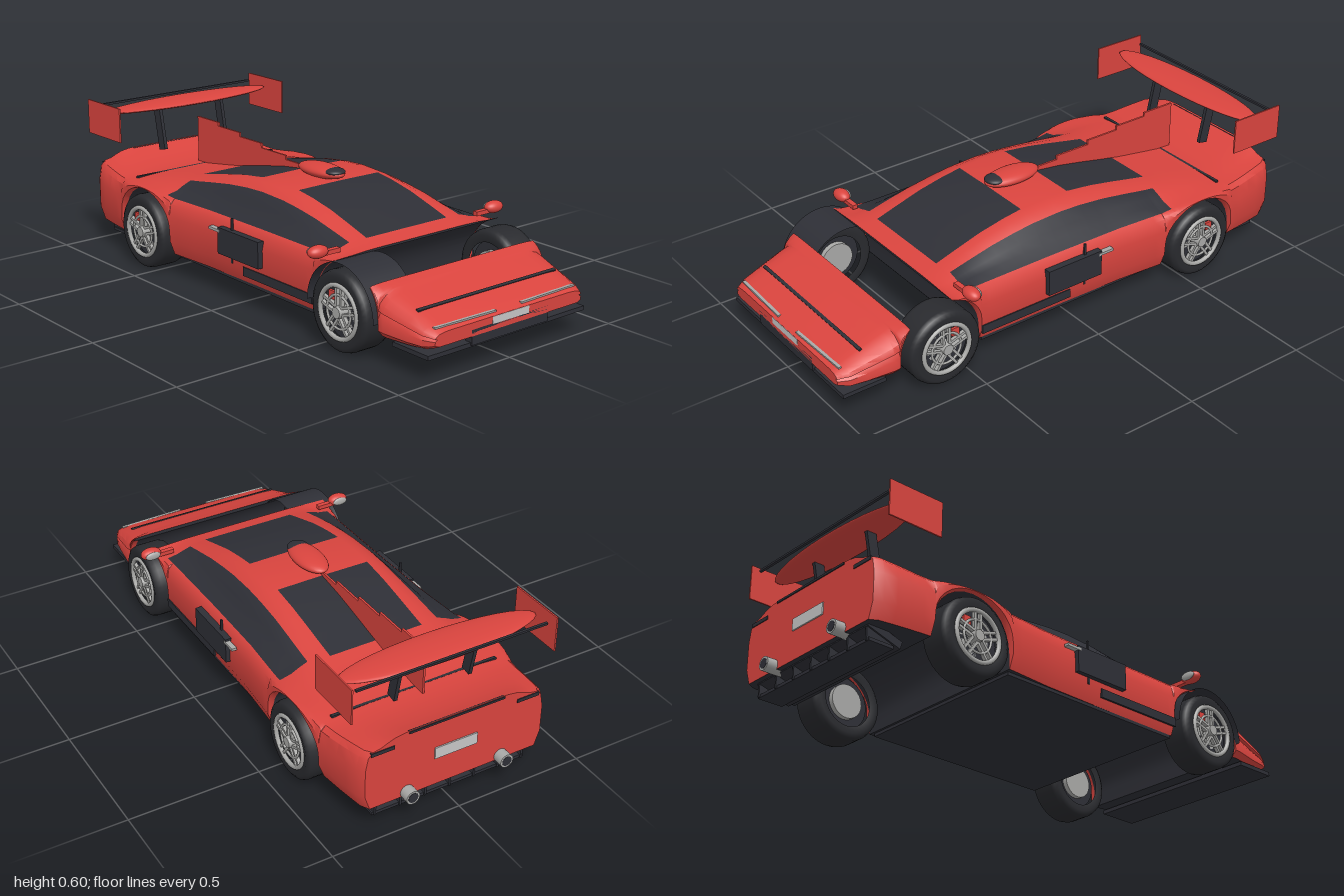
import * as THREE from 'three';
import { toCreasedNormals } from 'three/addons/utils/BufferGeometryUtils.js';

const mat = (name, color) => Object.assign(new THREE.MeshStandardMaterial({ color }), { name });
const red = mat('red paint', 0xd9443e);
const dark = mat('dark trim', 0x2e2f36);
const rubber = mat('tyre rubber', 0x292a2e);
const silver = mat('silver metal', 0xa9a9a7);
const plateGrey = mat('plate grey', 0xc6c6c6);
const liner = mat('arch liner', 0x2e2f36);
liner.side = THREE.DoubleSide;

const WHEEL_Y = 0.145, FRONT_Z = 0.605, REAR_Z = -0.565, ARCH = 0.169;
const SIDES = [1, -1];

// Linear interpolation in [z, value] pairs sorted by falling z
function at(keys, z) {
  if (z >= keys[0][0]) return keys[0][1];
  for (let i = 1; i < keys.length; i++) {
    const [z0, v0] = keys[i - 1], [z1, v1] = keys[i];
    if (z >= z1) return v0 + ((v1 - v0) * (z0 - z)) / (z0 - z1);
  }
  return keys[keys.length - 1][1];
}

function add(parent, name, geo, material, x = 0, y = 0, z = 0) {
  const m = new THREE.Mesh(geo, material);
  m.name = name;
  m.position.set(x, y, z);
  parent.add(m);
  return m;
}
const box = (w, h, d) => new THREE.BoxGeometry(w, h, d);
const ball = (rx, ry, rz) => new THREE.SphereGeometry(1, 32, 16).scale(rx, ry, rz);

// Mirrored loft: stations [z, bottomY] run front to back, half(z, y) gives points from bottom to top centre
function loft(stations, half, paint, frontCap, rearCap) {
  const pos = [], idx = [[], []];
  let n = 0;
  for (const [z, yb] of stations) {
    const h = half(z, yb);
    n = h.length - 1;
    const ring = [...h, ...h.slice(1, -1).reverse().map(([x, y]) => [-x, y])];
    ring.forEach(([x, y]) => pos.push(x, y, z));
  }
  const N = 2 * n, last = stations.length - 1;
  for (let i = 0; i < last; i++) {
    const zm = (stations[i][0] + stations[i + 1][0]) / 2;
    for (let j = 0; j < N; j++) {
      const k = (j + 1) % N, a = i * N + j, b = i * N + k;
      idx[paint(j < n ? j : N - 1 - j, zm)].push(a, a + N, b, b, a + N, b + N);
    }
  }
  for (const [row, m] of [[0, frontCap], [last, rearCap]]) {
    const c = pos.length / 3, y0 = pos[row * N * 3 + 1], y1 = pos[(row * N + n) * 3 + 1];
    pos.push(0, (y0 + y1) / 2, stations[row][0]);
    for (let j = 0; j < N; j++) {
      const a = row * N + j, b = row * N + ((j + 1) % N);
      idx[m].push(c, ...(row ? [b, a] : [a, b]));
    }
  }
  const g = new THREE.BufferGeometry();
  g.setAttribute('position', new THREE.Float32BufferAttribute(pos, 3));
  g.setIndex([...idx[0], ...idx[1]]);
  g.addGroup(0, idx[0].length, 0);
  g.addGroup(idx[0].length, idx[1].length, 1);
  return toCreasedNormals(g, 0.6);
}

// Stations along a wheel arch between two angles
function arch(c, a0, a1, steps) {
  return Array.from({ length: steps + 1 }, (_, i) => {
    const a = a0 + ((a1 - a0) * i) / steps;
    return [c + ARCH * Math.cos(a), WHEEL_Y + ARCH * Math.sin(a)];
  });
}

const flank = (w, yb, belt) => [[0, yb], [w - 0.02, yb], [w, yb + (belt - yb) * 0.25],
  [w, yb + (belt - yb) * 0.7], [w - 0.01, yb + (belt - yb) * 0.92]];
const upper = (profile, inner, outer, belt, top) =>
  [...profile.map(([u, v]) => [inner + (outer - inner) * u, belt + (top - belt) * v]), [0, top]];

const ROOF = [[0.56, 0.316], [0.49, 0.332], [0.4, 0.36], [0.3, 0.39], [0.2, 0.411], [0.12, 0.423], [0, 0.43], [-0.09, 0.426],
  [-0.2, 0.412], [-0.3, 0.393], [-0.4, 0.372], [-0.5, 0.352], [-0.6, 0.337], [-0.7, 0.322], [-0.78, 0.32], [-0.88, 0.338], [-0.96, 0.368]];
const BELT = [[0.56, 0.3], [0.45, 0.305], [-0.4, 0.308], [-0.5, 0.32], [-0.63, 0.32], [-0.75, 0.31], [-0.96, 0.335]];
const WIDTH = [[0.56, 0.385], [0.1, 0.385], [-0.2, 0.39], [-0.45, 0.407], [-0.68, 0.404], [-0.85, 0.385], [-0.93, 0.372], [-0.96, 0.355]];
const CABIN = [[1, 0], [0.76, 0.2], [0.62, 0.46], [0.42, 0.76], [0.18, 0.93], [0, 0.985]];

function cabinSection(z, yb) {
  const w = at(WIDTH, z), belt = Math.max(at(BELT, z), yb + 0.003), top = Math.max(at(ROOF, z), belt + 0.004);
  return [...flank(w, yb, belt), ...upper(CABIN, 0.19, w - 0.028, belt, top)];
}
function cabinPaint(j, z) {
  if (j === 0) return 1;
  const screen = j === 10 && ((z > 0.12 && z < 0.49) || (z > -0.46 && z < -0.09));
  const sideGlass = j >= 5 && j <= 7 && z > -0.44 && z < 0.48;
  return screen || sideGlass ? 1 : 0;
}

const NOSE_TOP = [[1, 0.166], [0.98, 0.178], [0.9, 0.21], [0.73, 0.27]];
const NOSE_W = [[1, 0.345], [0.96, 0.365], [0.8, 0.39], [0.73, 0.387]];
const NOSE_CURVE = [[1, 0], [0.93, 0.4], [0.7, 0.75], [0.35, 0.93], [0, 0.98]];
function noseSection(z, yb) {
  const w = at(NOSE_W, z), top = at(NOSE_TOP, z), belt = yb + (top - yb) * 0.6;
  return [...flank(w, yb, belt), ...upper(NOSE_CURVE, 0.28, w, belt, top)];
}

function makeWheel(side, z) {
  const g = new THREE.Group();
  g.name = 'wheel';
  const turn = (geo) => geo.rotateZ(-Math.PI / 2); // axis to x, outside at +x
  const tyre = [[0.098, -0.06], [0.125, -0.066], [0.14, -0.056], [0.145, -0.04], [0.145, 0.04], [0.14, 0.056], [0.125, 0.066], [0.098, 0.06]];
  add(g, 'tyre', turn(new THREE.LatheGeometry(tyre.map((p) => new THREE.Vector2(...p)), 40)), rubber);
  add(g, 'wheelBack', turn(new THREE.CylinderGeometry(0.1, 0.1, 0.07, 32)), dark);
  add(g, 'brakeDisc', turn(new THREE.CylinderGeometry(0.065, 0.065, 0.09, 32)), silver, -0.01);
  add(g, 'rim', new THREE.TorusGeometry(0.094, 0.009, 8, 40).rotateY(Math.PI / 2), silver, 0.06);
  add(g, 'innerRim', new THREE.TorusGeometry(0.06, 0.005, 6, 32).rotateY(Math.PI / 2), silver, 0.058);
  add(g, 'hub', turn(new THREE.CylinderGeometry(0.02, 0.026, 0.04, 20)), silver, 0.052);
  for (let i = 0; i < 5; i++) for (const s of SIDES) {
    const spoke = add(g, 'spoke', box(0.014, 0.08, 0.01).translate(0, 0.055, s * 0.012), silver, 0.055);
    spoke.rotation.x = (i * Math.PI * 2) / 5;
  }
  add(g, 'brakeCaliper', box(0.01, 0.03, 0.03), red, 0.05, 0.05, -0.042 * side);
  g.position.set(side * 0.354, WHEEL_Y, z);
  if (side < 0) g.rotation.y = Math.PI;
  return g;
}

export function createModel() {
  const car = new THREE.Group();
  car.name = 'sportsCar';

  // Cabin and tail, with arches cut through the full width
  const stations = [...arch(FRONT_Z, Math.PI * 0.587, Math.PI, 8),
    ...[FRONT_Z - ARCH - 0.002, 0.4, 0.35, 0.3, 0.25, 0.2, 0.12, 0.06, 0, -0.09, -0.15, -0.2, -0.25, -0.3, -0.35, REAR_Z + ARCH + 0.002].map((z) => [z, 0.09]),
    ...arch(REAR_Z, 0, Math.PI, 14),
    ...[REAR_Z - ARCH - 0.002, -0.78, -0.83, -0.88, -0.93, -0.96].map((z) => [z, 0.1])];
  for (const z of [0.49, 0.48, -0.44, -0.46]) {
    const d = z - (z > 0 ? FRONT_Z : REAR_Z);
    stations.push([z, WHEEL_Y + Math.sqrt(ARCH * ARCH - d * d)]);
  }
  stations.sort((a, b) => b[0] - a[0]);
  add(car, 'cabinBody', loft(stations, cabinSection, cabinPaint, 1, 0), [red, dark]);

  // Nose wedge
  const noseStations = [[1, 0.118], [0.98, 0.11], [0.96, 0.105], [0.9, 0.1], [0.84, 0.1], [0.8, 0.1],
    [FRONT_Z + ARCH + 0.002, 0.1], ...arch(FRONT_Z, 0, Math.PI * 0.225, 6)];
  add(car, 'nose', loft(noseStations, noseSection, (j) => (j === 0 ? 1 : 0), 0, 1), [red, dark]);
  add(car, 'splitter', box(0.74, 0.016, 0.17), dark, 0, 0.088, 0.91);
  add(car, 'frontIntake', box(0.36, 0.055, 0.03), dark, 0, 0.114, 0.985);
  add(car, 'frontPlate', box(0.172, 0.026, 0.006), plateGrey, 0, 0.152, 0.998);
  for (const s of SIDES) {
    const lamp = add(car, 'lightStrip', box(0.27, 0.006, 0.012), silver, s * 0.195, 0.177, 0.981);
    lamp.rotation.y = s * 0.03;
  }
  add(car, 'hoodLine', box(0.65, 0.006, 0.012), dark, 0, 0.212, 0.893).rotation.x = 0.36;

  // Floor, sills and doors
  add(car, 'floor', box(0.73, 0.016, 0.81), dark, 0, 0.086, 0.02);
  for (const s of SIDES) {
    add(car, 'sill', box(0.008, 0.034, 0.39), dark, s * 0.385, 0.137, 0.24);
    add(car, 'sidePanel', box(0.026, 0.1, 0.24), dark, s * 0.392, 0.226, 0.035);
    add(car, 'doorLine', box(0.008, 0.17, 0.008), dark, s * 0.386, 0.235, -0.02);
    add(car, 'doorHandle', box(0.02, 0.01, 0.065), silver, s * 0.397, 0.263, -0.105);
    // Mirrors
    add(car, 'mirrorStalk', box(0.07, 0.016, 0.02), red, s * 0.36, 0.322, 0.5);
    add(car, 'mirror', ball(0.041, 0.023, 0.027), red, s * 0.418, 0.332, 0.502);
    add(car, 'mirrorGlass', ball(0.031, 0.016, 0.008), silver, s * 0.418, 0.332, 0.48);
    // Wheels
    car.add(makeWheel(s, FRONT_Z), makeWheel(s, REAR_Z));
  }
  const guard = new THREE.CylinderGeometry(0.17, 0.17, 0.19, 32, 1, true, 0, Math.PI).rotateZ(Math.PI / 2);
  add(car, 'wheelGuard', guard, liner, -0.315, WHEEL_Y, FRONT_Z);

  // Roof scoop and stepped fin
  add(car, 'roofScoop', ball(0.057, 0.026, 0.118), red, 0, 0.444, 0.02);
  add(car, 'scoopMouth', ball(0.04, 0.014, 0.04), dark, 0, 0.452, 0.095);
  const fin = new THREE.Shape([[-0.05, 0.41], [-0.05, 0.44], [-0.19, 0.44], [-0.19, 0.456], [-0.34, 0.456], [-0.34, 0.474], [-0.48, 0.474],
    [-0.48, 0.49], [-0.62, 0.49], [-0.62, 0.505], [-0.76, 0.505], [-0.76, 0.31], [-0.5, 0.33]].map(([z, y]) => new THREE.Vector2(-z, y)));
  const finGeo = new THREE.ExtrudeGeometry(fin, { depth: 0.008, bevelEnabled: false }).translate(0, 0, -0.004).rotateY(Math.PI / 2);
  add(car, 'roofFin', finGeo, red);

  // Rear wing
  add(car, 'wingBlade', ball(0.392, 0.016, 0.083), red, 0, 0.562, -0.835);
  add(car, 'wingFlap', box(0.75, 0.008, 0.01), dark, 0, 0.575, -0.922);
  for (const s of SIDES) {
    add(car, 'wingEndPlate', box(0.006, 0.135, 0.225), red, s * 0.4, 0.533, -0.832);
    add(car, 'wingStrut', box(0.014, 0.17, 0.04), dark, s * 0.15, 0.468, -0.812).rotation.x = -0.2;
    add(car, 'tailLamp', box(0.09, 0.014, 0.01), dark, s * 0.29, 0.325, -0.958);
    // Exhausts
    add(car, 'exhaust', new THREE.CylinderGeometry(0.026, 0.026, 0.09, 24).rotateX(Math.PI / 2), silver, s * 0.19, 0.116, -0.955);
    add(car, 'exhaustBore', new THREE.CylinderGeometry(0.019, 0.019, 0.004, 24).rotateX(Math.PI / 2), dark, s * 0.19, 0.116, -0.999);
  }

  // Tail details and diffuser
  add(car, 'deckLine', box(0.67, 0.008, 0.012), dark, 0, 0.318, -0.71);
  add(car, 'tailLip', box(0.38, 0.008, 0.012), dark, 0, 0.362, -0.958);
  add(car, 'rearPlate', box(0.17, 0.045, 0.006), plateGrey, 0, 0.235, -0.962);
  add(car, 'diffuser', box(0.62, 0.03, 0.14), dark, 0, 0.088, -0.87).rotation.x = 0.3;
  for (let i = -3; i <= 3; i++) add(car, 'diffuserFin', box(0.008, 0.07, 0.1), dark, i * 0.1, 0.08, -0.89);
  add(car, 'diffuserBase', box(0.62, 0.012, 0.1), dark, 0, 0.05, -0.885);
  return car;
}
